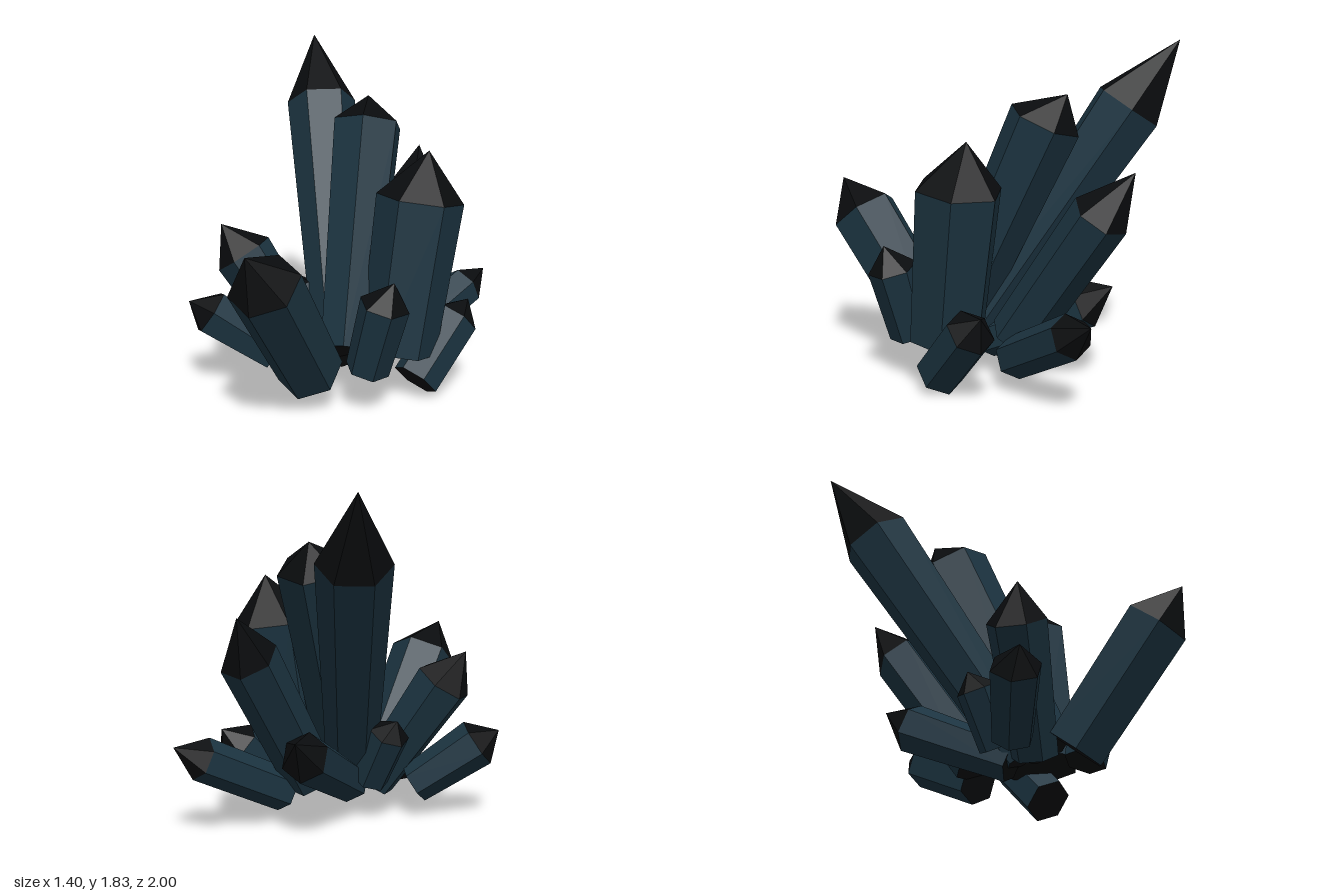
import * as THREE from 'three';

const bodyMat = new THREE.MeshStandardMaterial({ color: 0x1c3441, flatShading: true });
const darkMat = new THREE.MeshStandardMaterial({ color: 0x0a0c0e, flatShading: true });

// name, base centre, base radius, shoulder centre, shoulder radius, apex, roll
const CRYSTALS = [
  ['tallLeftCrystal', [0.13, 0.21, 0.08], 0.14, [-0.49, 1.47, -0.5], 0.2, [-0.7, 1.83, -0.68], -0.54],
  ['tallMiddleCrystal', [0.23, 0.27, 0.13], 0.155, [-0.01, 1.42, -0.335], 0.2, [-0.08, 1.56, -0.43], 0.05],
  ['tallRightCrystal', [0.44, 0.26, -0.05], 0.208, [0.473, 1.09, -0.185], 0.238, [0.48, 1.345, -0.25], 0.38],
  ['frontCrystal', [0.17, 0.195, 0.37], 0.18, [0.278, 0.81, 0.84], 0.195, [0.3, 0.995, 1.0], 0],
  ['frontLeftCrystal', [0.06, 0.165, 0.19], 0.125, [-0.31, 0.76, 0.37], 0.163, [-0.4, 0.93, 0.45], 0.5],
  ['lowLeftCrystal', [-0.2, 0.18, 0.25], 0.112, [-0.46, 0.42, 0.485], 0.137, [-0.54, 0.49, 0.575], -0.2],
  ['frontRightCrystal', [0.45, 0.235, 0.23], 0.12, [0.57, 0.62, 0.24], 0.135, [0.63, 0.75, 0.24], 0.5],
  ['lowRightCrystal', [0.53, 0.097, -0.09], 0.132, [0.58, 0.39, -0.385], 0.133, [0.6, 0.48, -0.48], 0],
  ['backCrystal', [0.12, 0.25, -0.25], 0.145, [0.02, 0.97, -0.76], 0.158, [-0.07, 1.2, -0.91], 0.3],
  ['lowBackCrystal', [0.22, 0.17, -0.34], 0.117, [0.325, 0.41, -0.84], 0.12, [0.353, 0.49, -1.0], 0],
  ['backLeftCrystal', [0.08, 0.18, 0.02], 0.115, [-0.14, 0.44, -0.52], 0.138, [-0.21, 0.54, -0.65], 0],
  ['smallLeftCrystal', [-0.06, 0.22, 0.04], 0.105, [-0.22, 0.5, 0.03], 0.115, [-0.29, 0.58, 0.02], 0],
];

function meshFromTriangles(points, material, name) {
  const geometry = new THREE.BufferGeometry().setFromPoints(points);
  geometry.computeVertexNormals();
  const mesh = new THREE.Mesh(geometry, material);
  mesh.name = name;
  return mesh;
}

// Tapered six-sided shaft with a dark flat base and a dark off-centre point
function makeCrystal([name, base, baseRadius, shoulder, shoulderRadius, apex, roll]) {
  const sides = 6;
  const low = new THREE.Vector3(...base);
  const high = new THREE.Vector3(...shoulder);
  const point = new THREE.Vector3(...apex);
  const axis = high.clone().sub(low).normalize();
  const u = new THREE.Vector3(0, 1, 0).addScaledVector(axis, -axis.y).normalize();
  const v = axis.clone().cross(u);

  const ring = (centre, radius) => Array.from({ length: sides }, (_, i) => {
    const a = roll + (i / sides) * Math.PI * 2;
    return centre.clone()
      .addScaledVector(u, Math.cos(a) * radius)
      .addScaledVector(v, Math.sin(a) * radius);
  });
  const bottom = ring(low, baseRadius);
  const top = ring(high, shoulderRadius);

  const shaft = [];
  const foot = [];
  const tip = [];
  for (let i = 0; i < sides; i++) {
    const j = (i + 1) % sides;
    shaft.push(bottom[i], bottom[j], top[j], bottom[i], top[j], top[i]);
    foot.push(low, bottom[j], bottom[i]);
    tip.push(top[i], top[j], point);
  }

  const crystal = new THREE.Group();
  crystal.name = name;
  crystal.add(
    meshFromTriangles(shaft, bodyMat, 'shaft'),
    meshFromTriangles(foot, darkMat, 'foot'),
    meshFromTriangles(tip, darkMat, 'tip'),
  );
  return crystal;
}

export function createModel() {
  const cluster = new THREE.Group();
  cluster.name = 'crystalCluster';
  CRYSTALS.forEach((spec) => cluster.add(makeCrystal(spec)));
  return cluster;
}
